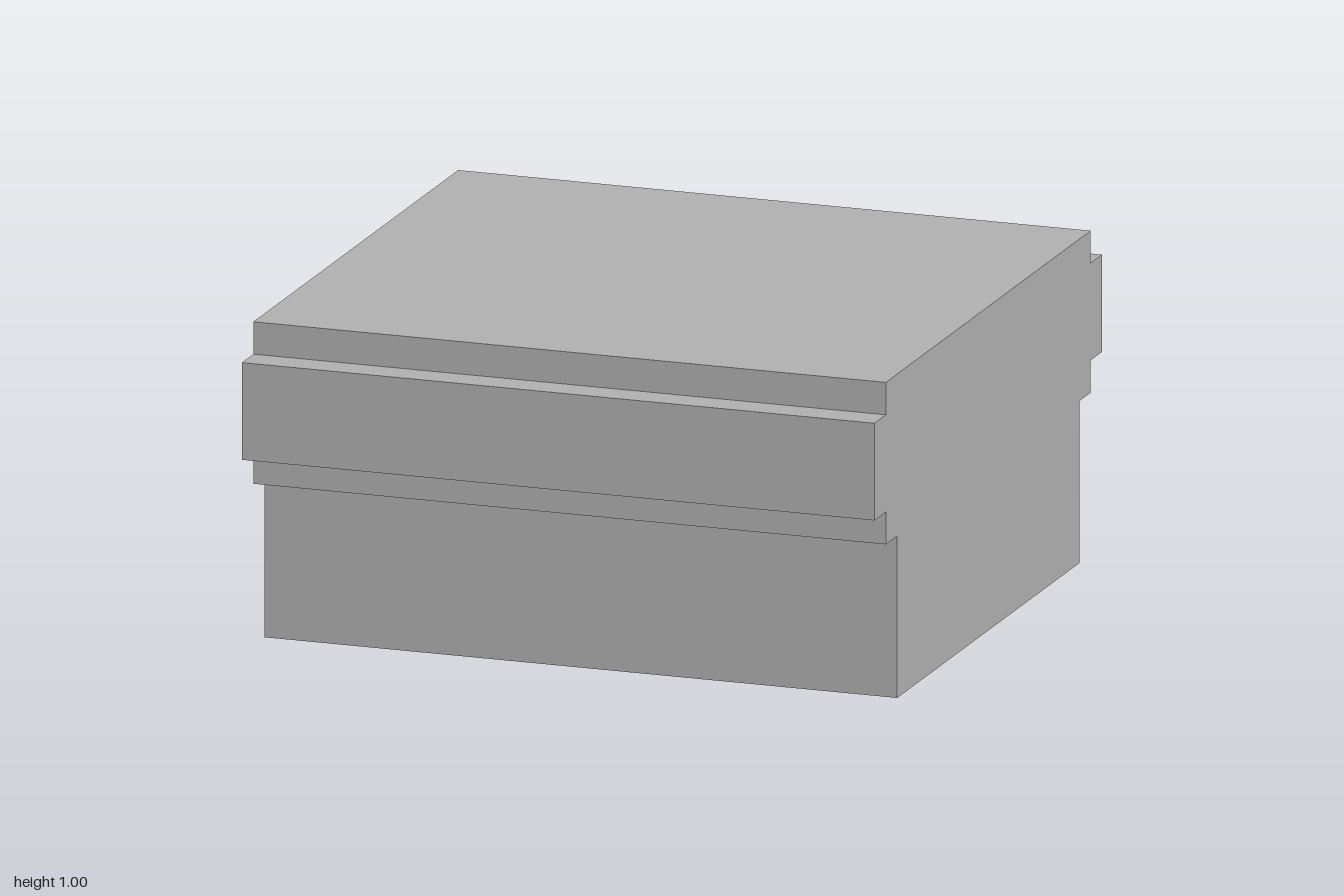
import * as THREE from 'three';

export function createModel() {
  const group = new THREE.Group();
  group.name = 'corniceBlock';
  const stone = new THREE.MeshStandardMaterial({ color: 0xb0b0b0 });
  stone.name = 'grey stone';

  // Stepped half profile (depth, height), mirrored to the other side
  const half = [
    [0.8, 0], [0.8, 0.5], [0.9, 0.5], [0.9, 0.6],
    [1, 0.6], [1, 0.9], [0.9, 0.9], [0.9, 1],
  ];
  const mirrored = half.map(([z, y]) => [-z, y]).reverse();
  const outline = [...half, ...mirrored].map(([z, y]) => new THREE.Vector2(z, y));

  // Profile swept across the full width
  const geometry = new THREE.ExtrudeGeometry(new THREE.Shape(outline), {
    depth: 2,
    bevelEnabled: false,
  });
  geometry.translate(0, 0, -1);
  geometry.rotateY(Math.PI / 2);

  const block = new THREE.Mesh(geometry, stone);
  block.name = 'steppedBlock';
  group.add(block);
  return group;
}
